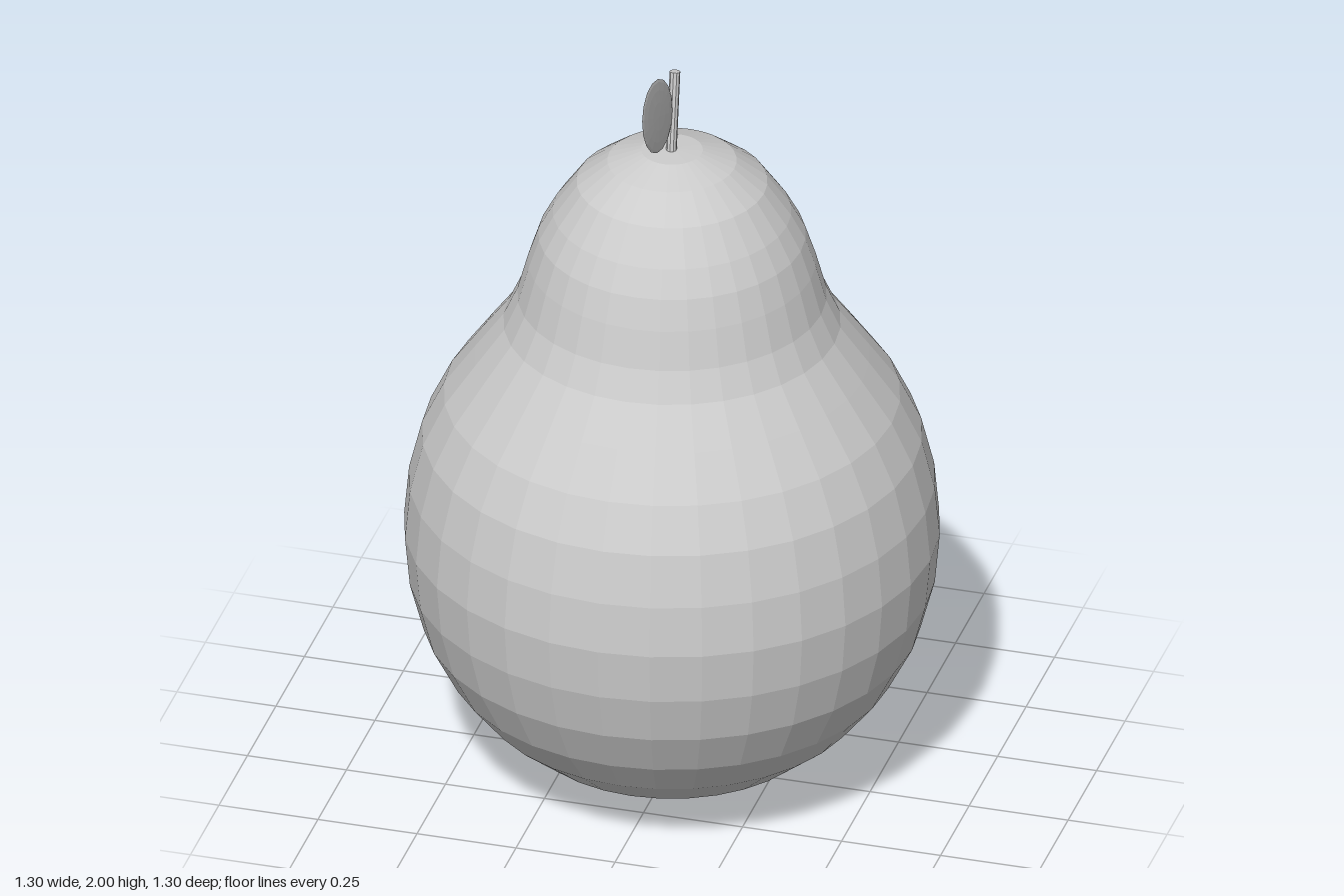
import * as THREE from 'three';

const material = new THREE.MeshStandardMaterial({ color: 0xcccccc, flatShading: true });

function addPart(group, name, geometry) {
  const mesh = new THREE.Mesh(geometry, material);
  mesh.name = name;
  group.add(mesh);
  return mesh;
}

export function createModel() {
  const model = new THREE.Group();
  model.name = 'pear';

  // Fruit: faceted lathe, radius and height from the bottom up
  const profile = [
    [0, 0], [0.127, 0.01], [0.25, 0.045], [0.36, 0.108], [0.465, 0.195],
    [0.545, 0.295], [0.606, 0.413], [0.64, 0.54], [0.652, 0.672], [0.64, 0.802],
    [0.608, 0.93], [0.555, 1.04], [0.48, 1.145], [0.41, 1.24], [0.376, 1.315],
    [0.35, 1.41], [0.325, 1.485], [0.29, 1.55], [0.232, 1.632], [0.157, 1.69],
    [0.075, 1.72], [0, 1.724],
  ].map(([r, y]) => new THREE.Vector2(r, y));
  addPart(model, 'fruit', new THREE.LatheGeometry(profile, 32));

  // Stem: thin cylinder leaning slightly backwards
  const base = new THREE.Vector3(0, 1.68, 0.012);
  const tip = new THREE.Vector3(0, 1.924, -0.026);
  const axis = tip.clone().sub(base);
  const stem = addPart(model, 'stem', new THREE.CylinderGeometry(0.013, 0.013, axis.length(), 10));
  stem.position.copy(base).add(tip).multiplyScalar(0.5);
  stem.quaternion.setFromUnitVectors(new THREE.Vector3(0, 1, 0), axis.normalize());

  // Leaf: flattened ellipsoid standing upright, rising towards the front
  const leafShape = new THREE.SphereGeometry(1, 16, 8);
  leafShape.rotateZ(Math.PI / 2);
  leafShape.scale(0.005, 0.09, 0.154);
  const leaf = addPart(model, 'leaf', leafShape);
  leaf.rotation.x = -0.655;
  leaf.position.set(0, 1.884, 0.128);

  return model;
}
